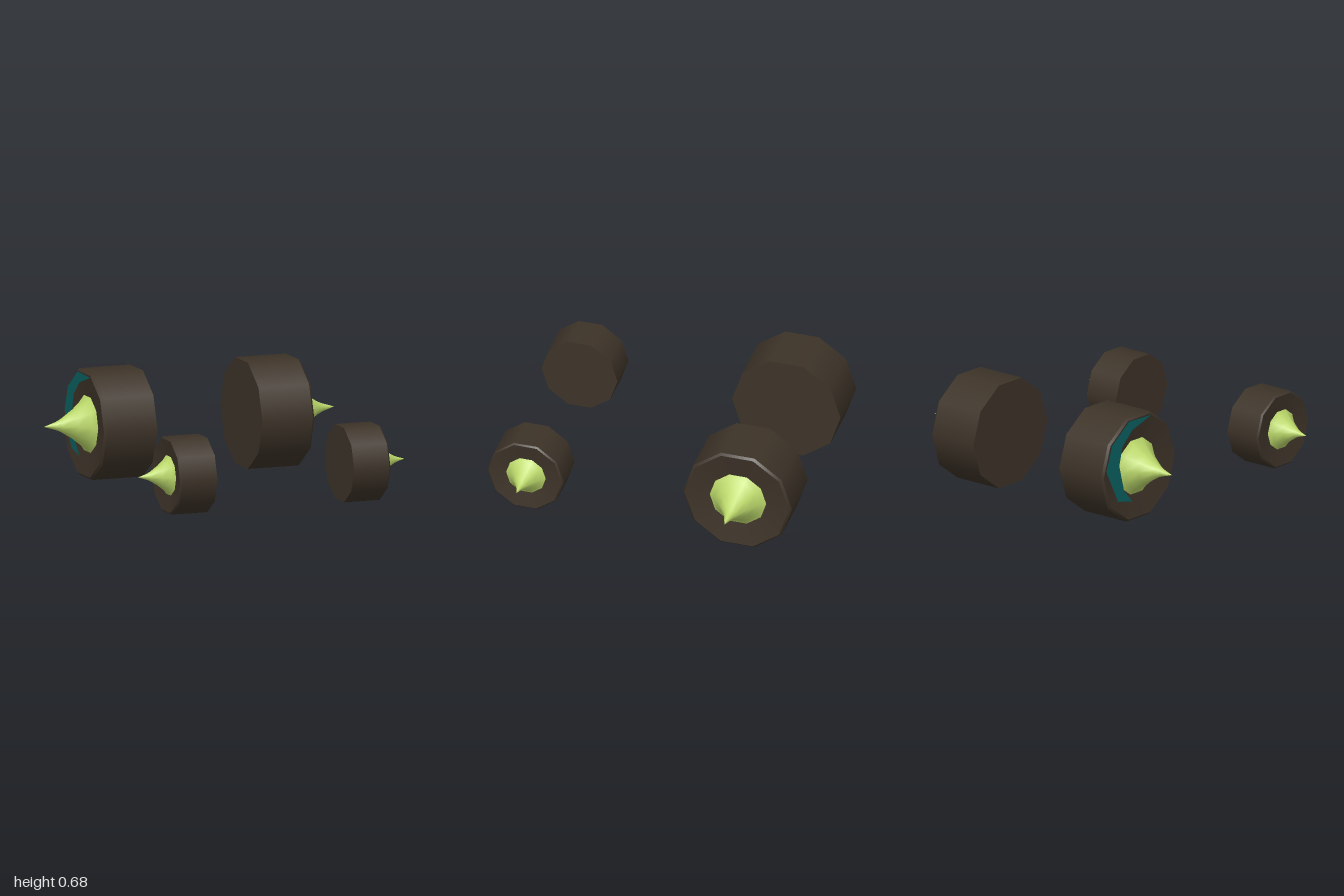
import * as THREE from 'three';

const rubber = new THREE.MeshStandardMaterial({ color: 0x3d3328 });
rubber.name = 'dark brown rubber';
const lime = new THREE.MeshStandardMaterial({ color: 0xbcd96b });
lime.name = 'lime metal';
const teal = new THREE.MeshStandardMaterial({ color: 0x086060, side: THREE.DoubleSide });
teal.name = 'dark teal';

const SIDES = 10;

// Ten-sided turned surface with its axis along +x
function turned(name, points, material) {
  const profile = points.map(([r, x]) => new THREE.Vector2(r, x));
  const geometry = new THREE.LatheGeometry(profile, SIDES).rotateZ(-Math.PI / 2);
  const mesh = new THREE.Mesh(geometry, material);
  mesh.name = name;
  return mesh;
}

// Wheel with its outer face at x = 0, the spike pointing to +x
function makeWheel(name) {
  const wheel = new THREE.Group();
  wheel.name = name;
  wheel.add(
    turned('innerFace', [[0, -0.357], [0.357, -0.357]], rubber),
    turned('tread', [[0.357, -0.357], [0.357, -0.014]], rubber),
    turned('chamfer', [[0.357, -0.014], [0.343, 0]], rubber),
    turned('dishedFace', [[0.343, 0], [0.18, -0.025]], rubber),
    turned('hubSpike', [
      [0.187, -0.025], [0.152, 0], [0.096, 0.07],
      [0.042, 0.155], [0.026, 0.19], [0, 0.272],
    ], lime)
  );
  return wheel;
}

export function createModel() {
  const model = new THREE.Group();
  model.name = 'spikedWheels';

  // Two axles, each wheel paired with its opposite
  const axles = [
    { name: 'rear', y: 0.345, z: -0.643, scale: 1 },
    { name: 'front', y: 0.25, z: 0.75, scale: 0.7 },
  ];
  for (const { name, y, z, scale } of axles) {
    for (const side of [1, -1]) {
      const wheel = makeWheel(name + (side > 0 ? 'Left' : 'Right') + 'Wheel');
      wheel.scale.setScalar(scale);
      wheel.position.set(0.713 * side, y, z);
      if (side < 0) wheel.rotation.y = Math.PI;
      model.add(wheel);
    }
  }

  // Thin crescent on the outer face of the rear right wheel
  const outline = [
    [0.115, 0.315], [-0.1, 0.322], [-0.265, 0.2], [-0.32, 0.04],
    [-0.206, -0.183], [-0.069, -0.212], [-0.149, -0.125],
    [-0.195, 0.05], [-0.165, 0.17], [-0.07, 0.257],
  ].map(([z, y]) => new THREE.Vector2(z, y));
  const crescent = new THREE.Mesh(
    new THREE.ShapeGeometry(new THREE.Shape(outline)).rotateY(-Math.PI / 2), teal);
  crescent.name = 'faceCrescent';
  crescent.position.set(-0.715, 0.345, -0.643);
  model.add(crescent);

  return model;
}
